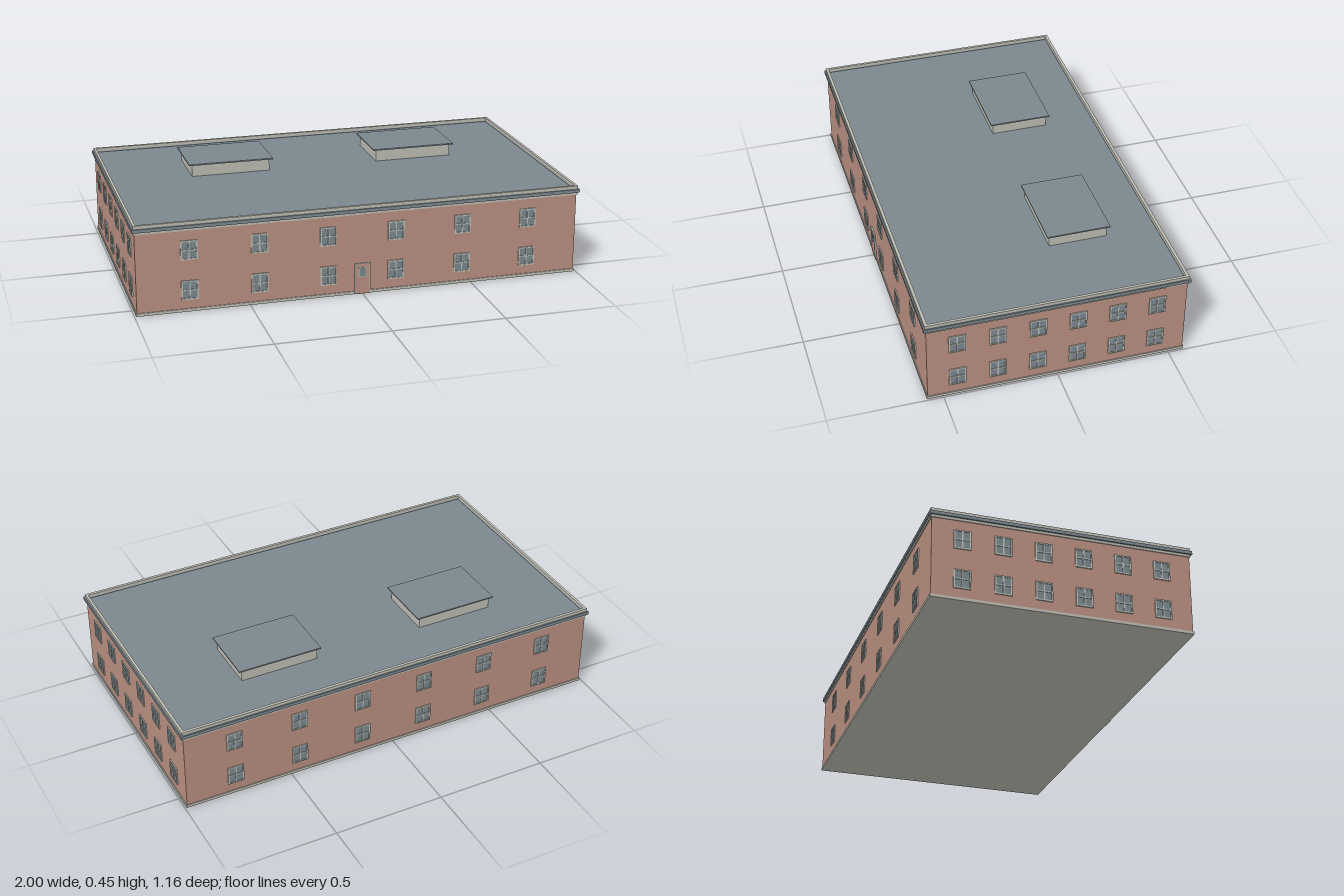
import * as THREE from 'three';

const material = (name, color) => {
  const m = new THREE.MeshStandardMaterial({ color });
  m.name = name;
  return m;
};

// Clockwise or anticlockwise rectangle, centred on (cx, cy)
function trace(path, cx, cy, w, h) {
  path.moveTo(cx - w / 2, cy - h / 2);
  path.lineTo(cx + w / 2, cy - h / 2);
  path.lineTo(cx + w / 2, cy + h / 2);
  path.lineTo(cx - w / 2, cy + h / 2);
  path.closePath();
  return path;
}

// Rectangular plate with rectangular holes [cx, cy, w, h], extruded along +z
function pierced(w, h, holes, depth) {
  const shape = trace(new THREE.Shape(), 0, 0, w, h);
  for (const hole of holes) shape.holes.push(trace(new THREE.Path(), ...hole));
  return new THREE.ExtrudeGeometry(shape, { depth, bevelEnabled: false });
}

export function createModel() {
  const brick = material('brick', 0xb98f81);
  const stone = material('stone', 0xbdbcb2);
  const slate = material('slate', 0x7b878e);
  const glass = material('glass', 0x7b888f);
  const trim = material('trim', 0xbbc0b8);

  const model = new THREE.Group();
  model.name = 'building';

  const add = (parent, name, geometry, mat, x = 0, y = 0, z = 0) => {
    const mesh = new THREE.Mesh(geometry, mat);
    mesh.name = name;
    mesh.position.set(x, y, z);
    parent.add(mesh);
    return mesh;
  };
  // Box spanning heights y0 to y1
  const block = (name, w, d, y0, y1, mat, x = 0, z = 0) =>
    add(model, name, new THREE.BoxGeometry(w, y1 - y0, d), mat, x, (y0 + y1) / 2, z);
  // Hollow rectangular band running around the building
  const band = (name, w, d, y0, y1, mat) => {
    const g = pierced(w, d, [[0, 0, 1.964, 1.118]], y1 - y0);
    g.rotateX(-Math.PI / 2);
    return add(model, name, g, mat, 0, y0, 0);
  };

  const W = 1.978, D = 1.134;

  // Body, plinth and roof edge
  block('plinth', 1.986, 1.142, 0, 0.013, stone);
  block('walls', W, D, 0.013, 0.364, brick);
  block('lowerBand', 1.986, 1.142, 0.364, 0.375, stone);
  band('cornice', 2, 1.156, 0.375, 0.39, slate);
  band('parapet', 1.988, 1.144, 0.39, 0.405, stone);
  block('roof', 1.964, 1.118, 0.375, 0.386, slate);

  // Roof housings with overhanging lids
  for (const s of [-1, 1]) {
    block('roofHousing', 0.36, 0.26, 0.386, 0.44, stone, s * 0.436, -0.204);
    block('roofHousingLid', 0.39, 0.284, 0.44, 0.446, slate, s * 0.436, -0.204);
  }

  // Four-pane windows, two storeys of six on every side
  const ww = 0.074, wh = 0.086, edge = 0.006, bar = 0.005;
  const pw = (ww - 2 * edge - bar) / 2, ph = (wh - 2 * edge - bar) / 2;
  const panes = [];
  for (const sx of [-1, 1])
    for (const sy of [-1, 1])
      panes.push([sx * (pw + bar) / 2, sy * (ph + bar) / 2, pw, ph]);
  const frameGeometry = pierced(ww, wh, panes, 0.005);
  const glassGeometry = new THREE.BoxGeometry(ww - 0.004, wh - 0.004, 0.002);

  const sides = [
    ['front', 0, D / 2, 0.304],
    ['left', Math.PI / 2, W / 2, 0.1746],
    ['back', Math.PI, D / 2, 0.304],
    ['right', -Math.PI / 2, W / 2, 0.1746],
  ];
  for (const [name, turn, distance, spacing] of sides) {
    const side = new THREE.Group();
    side.name = name + 'Windows';
    side.rotation.y = turn;
    for (const y of [0.097, 0.277])
      for (let i = 0; i < 6; i++) {
        const x = (i - 2.5) * spacing;
        add(side, 'windowFrame', frameGeometry, trim, x, y, distance);
        add(side, 'windowGlass', glassGeometry, glass, x, y, distance + 0.001);
      }
    model.add(side);
  }

  // Front door with a small light
  const door = new THREE.Group();
  door.name = 'frontDoor';
  door.position.set(0, 0.07, D / 2);
  add(door, 'doorPanel', new THREE.BoxGeometry(0.064, 0.138, 0.006), brick, 0, 0, 0.002);
  add(door, 'doorFrame', pierced(0.07, 0.14, [[0, -0.002, 0.062, 0.136]], 0.007), trim);
  add(door, 'doorLightFrame', new THREE.BoxGeometry(0.036, 0.045, 0.001), trim, 0, 0.03, 0.0055);
  add(door, 'doorLight', new THREE.BoxGeometry(0.031, 0.04, 0.002), glass, 0, 0.03, 0.006);
  model.add(door);

  return model;
}
